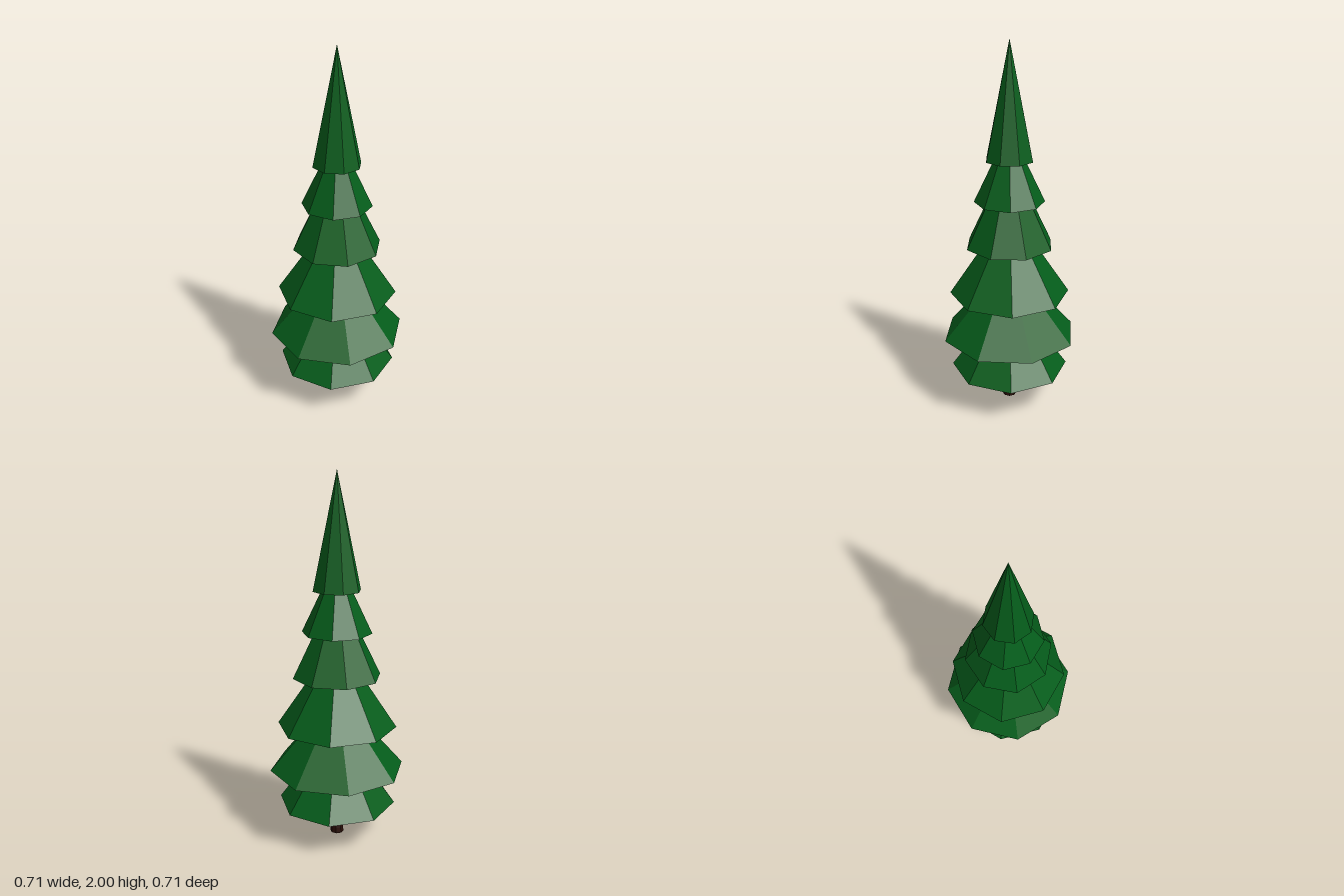
import * as THREE from 'three';

// Eight-sided turned part from [radius, height] points, listed bottom to top
function turned(name, points, material) {
  const profile = points.map(([r, y]) => new THREE.Vector2(r, y));
  const mesh = new THREE.Mesh(new THREE.LatheGeometry(profile, 8), material);
  mesh.name = name;
  return mesh;
}

export function createModel() {
  const tree = new THREE.Group();
  tree.name = 'pineTree';

  const needles = new THREE.MeshStandardMaterial({ color: 0x055d1b, flatShading: true });
  const bark = new THREE.MeshStandardMaterial({ color: 0x280e06, flatShading: true });

  // Trunk with a flared foot, open below, reaching up inside the lowest branches
  tree.add(turned('trunk', [[0.038, 0], [0.034, 0.03], [0.028, 0.06], [0.026, 0.5]], bark));

  // Branch tiers, cones with a hollowed underside: rim radius, rim height, tip height, turn in degrees
  const tiers = [
    [0.321, 0.2, 0.64, 0],
    [0.37, 0.4, 0.83, 17],
    [0.324, 0.648, 1.13, 1.1],
    [0.239, 0.926, 1.42, 19.6],
    [0.187, 1.167, 1.56, 0],
    [0.129, 1.39, 2, 22],
  ];
  tiers.forEach(([radius, rim, tip, turn], i) => {
    const hollow = rim + radius * 0.53;
    const tier = turned(`branchTier${i + 1}`, [[0, hollow], [radius, rim], [0, tip]], needles);
    tier.rotation.y = THREE.MathUtils.degToRad(turn);
    tree.add(tier);
  });

  return tree;
}
